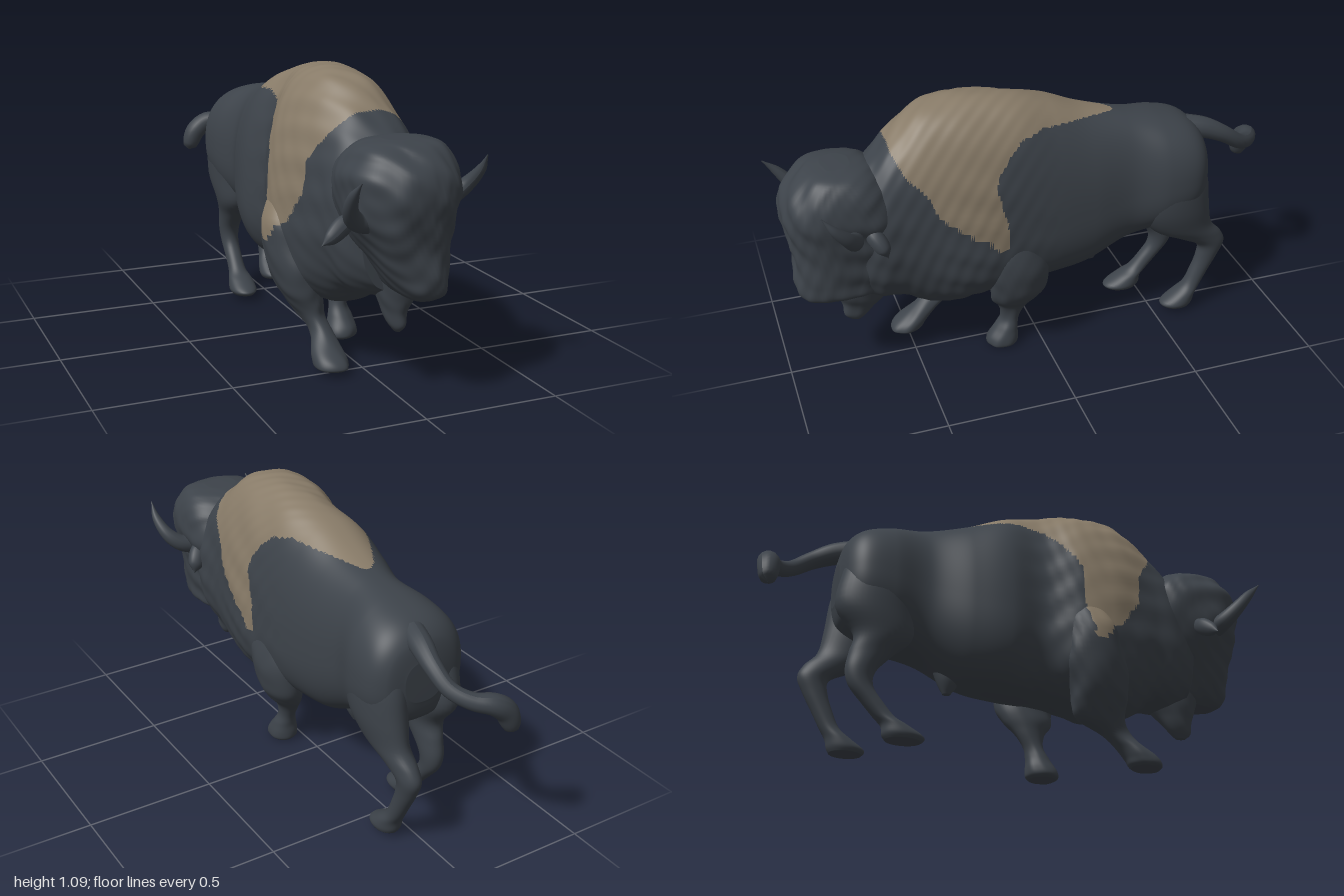
import * as THREE from 'three';

const hide = new THREE.MeshStandardMaterial({ color: 0x3d434a });
hide.name = 'darkHide';
const mane = new THREE.MeshStandardMaterial({ color: 0x887b68 });
mane.name = 'tanMane';

// Outline of the tan cape as [z, y]
const CAPE = [[-0.34, 0.938], [-0.2, 0.951], [-0.1, 0.960], [0, 0.968], [0.09, 0.945], [0.14, 0.90],
  [0.19, 0.83], [0.205, 0.78], [0.165, 0.65], [0.16, 0.53], [0.2, 0.525], [0.25, 0.58], [0.3, 0.60],
  [0.37, 0.66], [0.42, 0.70], [0.46, 0.80], [0.53, 0.87], [0.568, 0.95], [0.568, 1.3], [-0.34, 1.3]];

function inCape(x, y, z) {
  // The lower point hangs further forward and deeper on the right shoulder
  if (x < 0) {
    const d = THREE.MathUtils.clamp((0.85 - y) / 0.35, 0, 1);
    z -= 0.09 * d;
    y += 0.06 * d;
  }
  let inside = false;
  for (let i = 0, j = CAPE.length - 1; i < CAPE.length; j = i++) {
    const [za, ya] = CAPE[i], [zb, yb] = CAPE[j];
    if ((ya > y) !== (yb > y) && z < za + (zb - za) * (y - ya) / (yb - ya)) inside = !inside;
  }
  return inside;
}

// Smooth interpolation through rows of numbers
function sample(rows, u) {
  const f = u * (rows.length - 1), i = Math.min(Math.floor(f), rows.length - 2), t = f - i;
  const row = k => rows[Math.max(0, Math.min(rows.length - 1, k))];
  return rows[0].map((_, c) => {
    const a = row(i - 1)[c], b = row(i)[c], d = row(i + 1)[c], e = row(i + 2)[c];
    return b + 0.5 * t * (d - a + t * (2 * a - 5 * b + 4 * d - e + t * (3 * (b - d) + e - a)));
  });
}

// Soft lumps of thick hair that fade out toward the smooth hindquarters
const lumps = (x, y, z) => THREE.MathUtils.smoothstep(z, -0.1, 0.2) * (
  Math.sin(x * 41 + y * 17 + 1) * Math.sin(y * 29 - z * 23 + x * 11) * 0.6 +
  Math.sin(x * 63 - z * 47 + 2) * Math.sin(y * 49 + z * 41 - x * 19) * 0.4);

// Closed skin through rings; ring(row, angle) returns [x, y, z]
function loft(name, rows, ring, { steps = 36, sides = 32, fur = 0, painted = false } = {}) {
  const pts = [], mids = [];
  for (let s = 0; s <= steps; s++) {
    const row = sample(rows, s / steps), mid = new THREE.Vector3(), loop = [];
    for (let k = 0; k < sides; k++) {
      loop.push(new THREE.Vector3(...ring(row, k / sides * Math.PI * 2)));
      mid.addScaledVector(loop[k], 1 / sides);
    }
    for (const p of loop) p.addScaledVector(p.clone().sub(mid).normalize(), fur * lumps(p.x, p.y, p.z));
    pts.push(...loop);
    mids.push(mid);
  }
  pts.push(mids[0], mids[steps]);
  const tris = [], cap = (steps + 1) * sides, last = steps * sides;
  for (let k = 0; k < sides; k++) {
    const n = (k + 1) % sides;
    tris.push([cap, n, k], [cap + 1, last + k, last + n]);
    for (let s = 0; s < steps; s++) {
      const a = s * sides + k, b = s * sides + n;
      tris.push([a, b, a + sides], [b, b + sides, a + sides]);
    }
  }
  // Turn faces outward using the signed volume
  let volume = 0;
  const cross = new THREE.Vector3(), m = new THREE.Vector3(), idx = [[], []];
  for (const [a, b, c] of tris) volume += pts[a].dot(cross.crossVectors(pts[b], pts[c]));
  for (const [a, b, c] of tris) {
    m.copy(pts[a]).add(pts[b]).add(pts[c]).divideScalar(3);
    const slot = painted && inCape(m.x, m.y, m.z) ? 1 : 0;
    idx[slot].push(...(volume > 0 ? [a, b, c] : [a, c, b]));
  }
  const geo = new THREE.BufferGeometry().setFromPoints(pts);
  geo.setIndex([...idx[0], ...idx[1]]);
  geo.addGroup(0, idx[0].length, 0);
  geo.addGroup(idx[0].length, idx[1].length, 1);
  geo.computeVertexNormals();
  const mesh = new THREE.Mesh(geo, painted ? [hide, mane] : hide);
  mesh.name = name;
  return mesh;
}

const pow = (v, e) => Math.sign(v) * Math.abs(v) ** e;

// Body ring: [z, top, bottom, centre x, half width, widest y]
const bodyRing = ([z, top, bottom, cx, hw, wide], a) => {
  const c = pow(Math.cos(a), 0.84), s = pow(Math.sin(a), 0.84);
  return [cx + hw * c, wide + s * (s > 0 ? top - wide : wide - bottom), z];
};
// Level ring: [y, centre x, centre z, half width, half depth]
const levelRing = ([y, cx, cz, rx, rz], a) => [cx + rx * Math.cos(a), y, cz + rz * Math.sin(a)];
// Head ring: [y, front z, back z, centre x, half width]
const headRing = ([y, front, back, cx, hw], a) => [
  cx + hw * pow(Math.cos(a), 0.8), y, (front + back) / 2 + (front - back) / 2 * pow(Math.sin(a), 0.8)];

// Tapered tube along points [x, y, z, radius], with optional flattening in depth
function taper(name, points, flat = 1) {
  const curve = new THREE.CatmullRomCurve3(points.map(p => new THREE.Vector3(p[0], p[1], p[2])));
  const steps = 40, sides = 16, geo = new THREE.TubeGeometry(curve, steps, 1, sides);
  const p = geo.attributes.position;
  for (let s = 0; s <= steps; s++) {
    const mid = curve.getPointAt(s / steps);
    const r = sample(points.map(q => [q[3]]), curve.getUtoTmapping(s / steps))[0];
    for (let k = 0; k <= sides; k++) {
      const i = s * (sides + 1) + k;
      const o = new THREE.Vector3().fromBufferAttribute(p, i).sub(mid).multiplyScalar(Math.max(r, 0.001));
      p.setXYZ(i, mid.x + o.x, mid.y + o.y, mid.z + o.z * flat);
    }
  }
  geo.computeVertexNormals();
  const mesh = new THREE.Mesh(geo, hide);
  mesh.name = name;
  return mesh;
}

export function createModel() {
  const g = new THREE.Group();
  g.name = 'bison';

  // Humped torso with the tan cape
  g.add(loft('torso', [
    [-0.69, 0.74, 0.58, -0.008, 0.08, 0.66], [-0.67, 0.82, 0.51, -0.014, 0.155, 0.66],
    [-0.61, 0.875, 0.46, -0.018, 0.2, 0.66], [-0.5, 0.908, 0.42, -0.018, 0.202, 0.65],
    [-0.36, 0.932, 0.38, -0.017, 0.168, 0.62], [-0.2, 0.968, 0.30, -0.033, 0.2, 0.58],
    [-0.06, 1.025, 0.28, -0.035, 0.217, 0.56], [0.08, 1.07, 0.28, -0.012, 0.205, 0.56],
    [0.22, 1.088, 0.26, -0.03, 0.233, 0.54], [0.34, 1.088, 0.235, -0.03, 0.227, 0.56],
    [0.45, 1.06, 0.25, -0.022, 0.206, 0.6], [0.55, 0.985, 0.31, -0.008, 0.188, 0.62],
    [0.64, 0.897, 0.325, 0.002, 0.178, 0.62], [0.74, 0.82, 0.37, 0.01, 0.13, 0.58],
  ], bodyRing, { steps: 220, sides: 144, fur: 0.005, painted: true }));

  // Heavy head leaning slightly to one side
  g.add(loft('head', [
    [0.91, 0.81, 0.71, 0.01, 0.06], [0.89, 0.875, 0.635, 0.005, 0.14], [0.82, 0.95, 0.56, 0, 0.19],
    [0.74, 0.972, 0.52, 0, 0.198], [0.65, 0.962, 0.51, 0, 0.18], [0.55, 0.945, 0.53, 0.015, 0.148],
    [0.46, 0.948, 0.56, 0.037, 0.112], [0.40, 0.935, 0.61, 0.052, 0.085], [0.372, 0.89, 0.68, 0.052, 0.05],
  ], headRing, { steps: 70, sides: 72, fur: 0.009 }));
  g.add(loft('beard', [
    [0.45, 0.03, 0.70, 0.08, 0.13], [0.36, 0.025, 0.695, 0.065, 0.11], [0.30, 0.02, 0.705, 0.042, 0.077],
    [0.25, 0.02, 0.725, 0.028, 0.05], [0.222, 0.02, 0.73, 0.012, 0.02],
  ], levelRing, { fur: 0.006 }));

  // Horns and ears
  g.add(taper('leftHorn', [[0.15, 0.67, 0.74, 0.04], [0.215, 0.69, 0.745, 0.034], [0.26, 0.73, 0.77, 0.027],
    [0.283, 0.79, 0.82, 0.017], [0.282, 0.848, 0.862, 0.002]]));
  g.add(taper('rightHorn', [[-0.14, 0.65, 0.83, 0.04], [-0.195, 0.665, 0.85, 0.034], [-0.232, 0.71, 0.89, 0.027],
    [-0.245, 0.77, 0.94, 0.018], [-0.24, 0.825, 0.992, 0.002]]));
  g.add(taper('leftEar', [[0.14, 0.70, 0.69, 0.025], [0.175, 0.665, 0.66, 0.038], [0.2, 0.625, 0.635, 0.032],
    [0.214, 0.595, 0.625, 0.001]], 0.8));
  g.add(taper('rightEar', [[-0.15, 0.65, 0.74, 0.025], [-0.2, 0.62, 0.75, 0.034], [-0.245, 0.59, 0.765, 0.025],
    [-0.28, 0.568, 0.77, 0.001]], 0.8));

  // Front legs: shaggy above, slim shin, broad hoof
  const leg = { steps: 60, sides: 48, fur: 0.006, painted: true };
  g.add(loft('leftFrontLeg', [
    [0.64, 0.1, 0.12, 0.05, 0.06], [0.5, 0.116, 0.125, 0.08, 0.115], [0.4, 0.126, 0.11, 0.08, 0.125],
    [0.3, 0.112, 0.10, 0.076, 0.115], [0.24, 0.094, 0.108, 0.064, 0.098], [0.19, 0.075, 0.11, 0.042, 0.063],
    [0.13, 0.067, 0.125, 0.035, 0.039], [0.085, 0.07, 0.14, 0.047, 0.046], [0.045, 0.07, 0.155, 0.059, 0.062],
    [0.018, 0.07, 0.16, 0.059, 0.063], [0.005, 0.07, 0.16, 0.045, 0.05],
  ], levelRing, leg));
  g.add(loft('rightFrontLeg', [
    [0.64, -0.2, 0.25, 0.045, 0.06], [0.53, -0.208, 0.265, 0.085, 0.1], [0.4, -0.198, 0.285, 0.085, 0.12],
    [0.3, -0.175, 0.305, 0.083, 0.115], [0.24, -0.155, 0.31, 0.068, 0.11], [0.19, -0.14, 0.325, 0.05, 0.095],
    [0.145, -0.126, 0.39, 0.04, 0.06], [0.1, -0.125, 0.445, 0.05, 0.055], [0.06, -0.125, 0.49, 0.063, 0.066],
    [0.035, -0.125, 0.505, 0.063, 0.068], [0.024, -0.125, 0.505, 0.05, 0.056],
  ], levelRing, leg));

  // Hind legs: full thigh, backward hock, hoof stepping forward
  const thigh = cx => [[0.84, cx * 0.6, -0.52, 0.03, 0.05], [0.76, cx * 0.9, -0.525, 0.076, 0.125],
    [0.65, cx, -0.54, 0.088, 0.148], [0.52, cx, -0.555, 0.084, 0.15]];
  const hind = { steps: 60, sides: 40 };
  g.add(loft('leftHindLeg', [...thigh(0.094),
    [0.42, 0.09, -0.60, 0.064, 0.125], [0.36, 0.084, -0.68, 0.05, 0.095], [0.31, 0.08, -0.735, 0.042, 0.06],
    [0.25, 0.078, -0.725, 0.036, 0.047], [0.18, 0.077, -0.695, 0.034, 0.04], [0.12, 0.077, -0.665, 0.036, 0.038],
    [0.08, 0.077, -0.63, 0.048, 0.05], [0.045, 0.077, -0.602, 0.053, 0.07], [0.026, 0.077, -0.602, 0.045, 0.06],
  ], levelRing, hind));
  g.add(loft('rightHindLeg', [...thigh(-0.128),
    [0.42, -0.127, -0.525, 0.067, 0.11], [0.35, -0.122, -0.565, 0.05, 0.08], [0.28, -0.122, -0.60, 0.042, 0.056],
    [0.22, -0.122, -0.595, 0.036, 0.046], [0.16, -0.122, -0.55, 0.034, 0.042], [0.11, -0.122, -0.505, 0.036, 0.042],
    [0.08, -0.122, -0.465, 0.048, 0.052], [0.045, -0.122, -0.434, 0.055, 0.078], [0.026, -0.122, -0.434, 0.045, 0.066],
  ], levelRing, hind));

  // Belly tuft
  g.add(loft('bellyTuft', [[0.4, -0.02, -0.24, 0.05, 0.08], [0.32, -0.02, -0.245, 0.035, 0.045],
    [0.27, -0.02, -0.25, 0.012, 0.015]], levelRing));

  // Tail swung out and curling to one side, with a blunt tuft
  g.add(taper('tail', [[0, 0.825, -0.62, 0.045], [0.018, 0.81, -0.70, 0.042], [0.03, 0.775, -0.78, 0.034],
    [0.015, 0.72, -0.86, 0.03], [-0.035, 0.69, -0.92, 0.032], [-0.10, 0.675, -0.955, 0.04],
    [-0.15, 0.635, -0.96, 0.042], [-0.172, 0.585, -0.962, 0.036], [-0.18, 0.555, -0.962, 0.022],
    [-0.182, 0.55, -0.962, 0.001]]));
  return g;
}
